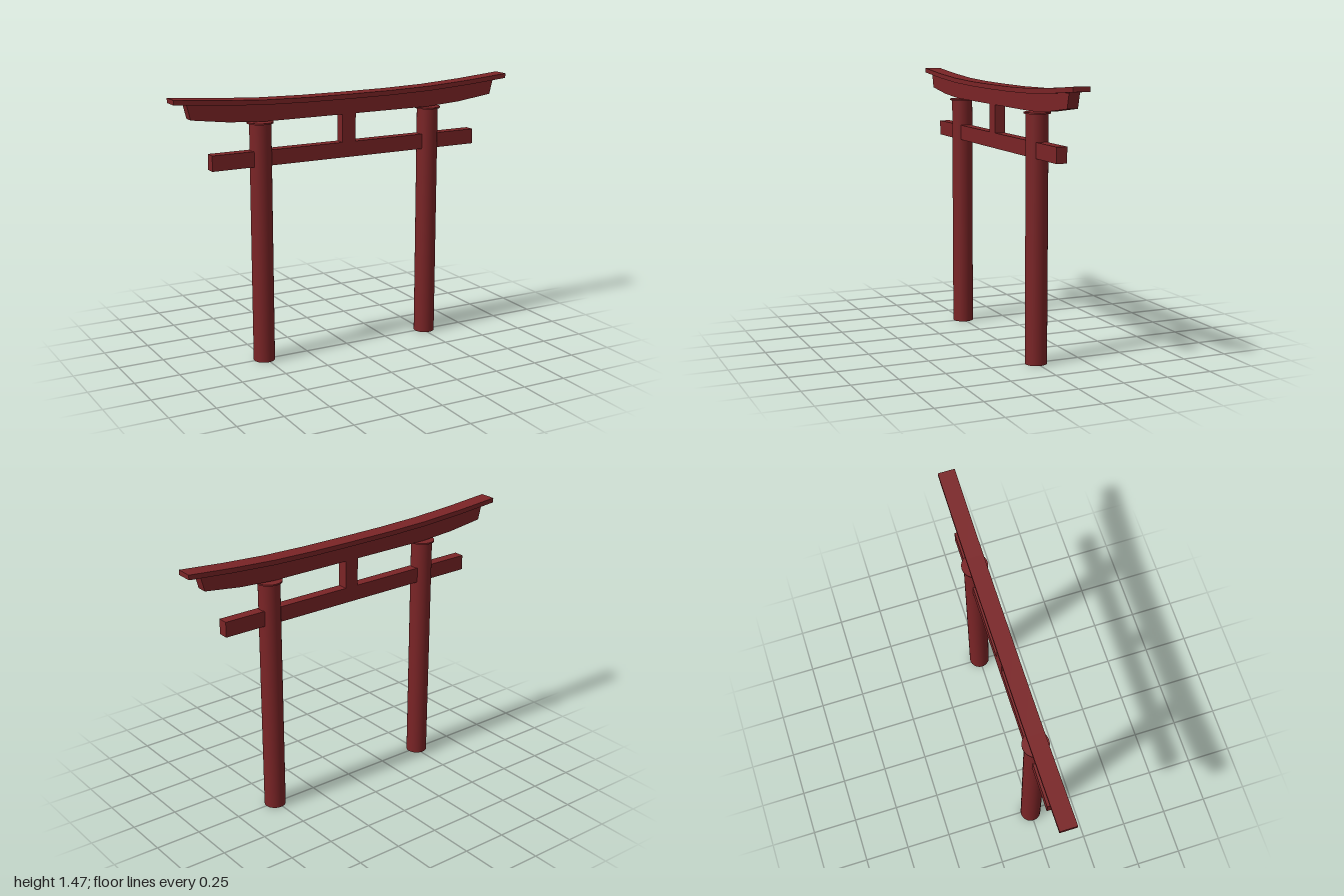
import * as THREE from 'three';

const material = new THREE.MeshStandardMaterial({ color: 0x7a2426 });

function addMesh(parent, name, geometry, x = 0, y = 0, z = 0) {
  const mesh = new THREE.Mesh(geometry, material);
  mesh.name = name;
  mesh.position.set(x, y, z);
  parent.add(mesh);
  return mesh;
}

// Beam whose lower and upper edges are given for x >= 0 and mirrored to -x
function curvedBeam(lower, upper, depth) {
  const mirrored = (pts) => [
    ...pts.slice(1).reverse().map(([x, y]) => [-x, y]),
    ...pts,
  ];
  const outline = [...mirrored(lower), ...mirrored(upper).reverse()];
  const shape = new THREE.Shape(outline.map(([x, y]) => new THREE.Vector2(x, y)));
  const geometry = new THREE.ExtrudeGeometry(shape, { depth, bevelEnabled: false });
  return geometry.translate(0, 0, -depth / 2);
}

export function createModel() {
  const gate = new THREE.Group();
  gate.name = 'gate';

  // Round pillars, each with a thin disc on top
  for (const [side, s] of [['left', 1], ['right', -1]]) {
    const x = 0.51 * s;
    addMesh(gate, side + 'Pillar', new THREE.CylinderGeometry(0.058, 0.058, 1.306, 32), x, 0.653);
    addMesh(gate, side + 'PillarCap', new THREE.CylinderGeometry(0.07, 0.07, 0.008, 32), x, 1.308);
  }

  // Straight tie beam and the short strut standing on it
  addMesh(gate, 'tieBeam', new THREE.BoxGeometry(1.59, 0.083, 0.058), 0, 1.121);
  addMesh(gate, 'centreStrut', new THREE.BoxGeometry(0.08, 0.16, 0.058), 0, 1.24);

  // Upper lintel with upswept, slanted ends
  const lintelLower = [[0, 1.315], [0.5, 1.315], [0.7, 1.328], [0.905, 1.355]];
  const lintelUpper = [[0, 1.4], [0.25, 1.401], [0.5, 1.406], [0.75, 1.42], [0.925, 1.434]];
  addMesh(gate, 'lintel', curvedBeam(lintelLower, lintelUpper, 0.058));

  // Wider curved plank along the top
  const curve = [[0, 1.424], [0.25, 1.425], [0.5, 1.431], [0.75, 1.446], [1, 1.467]];
  const plankLower = curve.map(([x, y]) => [x, y - 0.026]);
  addMesh(gate, 'topPlank', curvedBeam(plankLower, curve, 0.092));

  return gate;
}
